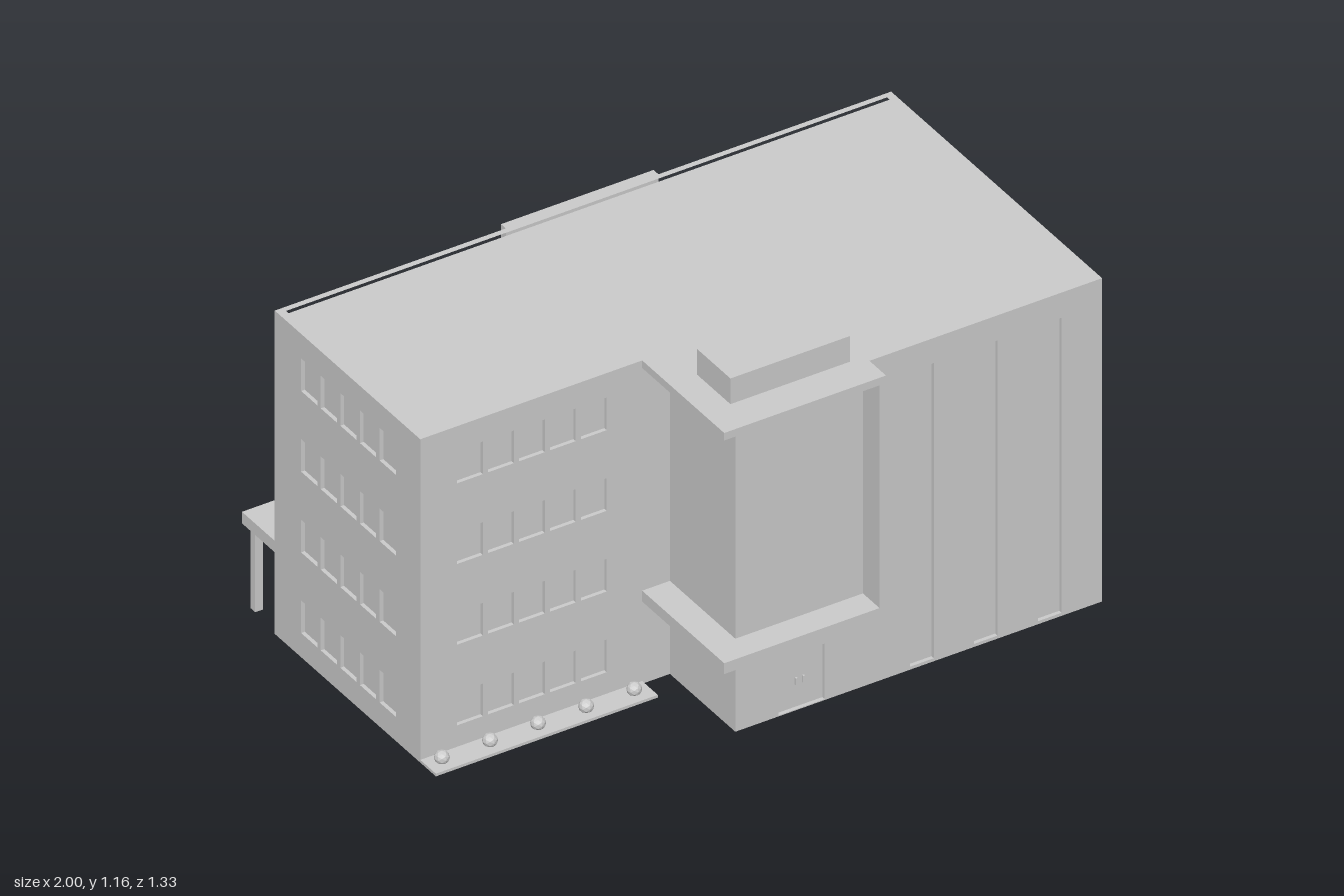
import * as THREE from 'three';

const D = 0.012;        // depth of window, strip and door recesses
const ROOF = 1.045;     // roof deck level
const TOP = 1.07;       // parapet level

export function createModel() {
  const group = new THREE.Group();
  const mat = new THREE.MeshStandardMaterial({ color: 0xcccccc, flatShading: true });

  function add(name, geo) {
    const mesh = new THREE.Mesh(geo, mat);
    mesh.name = name;
    group.add(mesh);
    return mesh;
  }

  function box(name, x0, x1, y0, y1, z0, z1) {
    const geo = new THREE.BoxGeometry(x1 - x0, y1 - y0, z1 - z0);
    geo.translate((x0 + x1) / 2, (y0 + y1) / 2, (z0 + z1) / 2);
    return add(name, geo);
  }

  const outline = (pts) => pts.map(([x, z]) => new THREE.Vector2(x, -z));

  // Horizontal slab from a plan outline of [x, z] points
  function slab(name, pts, y0, y1, hole) {
    const shape = new THREE.Shape(outline(pts));
    if (hole) shape.holes.push(new THREE.Path(outline(hole)));
    const geo = new THREE.ExtrudeGeometry(shape, { depth: y1 - y0, bevelEnabled: false });
    geo.rotateX(-Math.PI / 2).translate(0, y0, 0);
    return add(name, geo);
  }

  const rect = (path, [u0, u1, y0, y1]) => {
    path.moveTo(u0, y0).lineTo(u1, y0).lineTo(u1, y1).lineTo(u0, y1).closePath();
    return path;
  };

  // Thin outer wall with openings; turn faces it outward, dist is its outer plane
  function wall(name, u0, u1, turn, dist, openings) {
    const shape = rect(new THREE.Shape(), [u0, u1, 0, ROOF]);
    for (const o of openings) shape.holes.push(rect(new THREE.Path(), o));
    const geo = new THREE.ExtrudeGeometry(shape, { depth: D, bevelEnabled: false });
    geo.translate(0, 0, dist - D).rotateY(turn);
    return add(name, geo);
  }

  // Rows of windows: first edge, column count and pitch, starting floor
  function windows(start, count, pitch, firstFloor) {
    const list = [];
    for (let f = firstFloor; f < 4; f++) {
      const y = 0.08 + f * 0.267;
      for (let i = 0; i < count; i++) {
        const u = start + i * pitch;
        list.push([u, u + 0.083, y, y + 0.108]);
      }
    }
    return list;
  }
  const strips = (starts) => starts.map((u) => [u, u + 0.077, 0.01, 0.987]);
  const door = (centre) => [centre - 0.075, centre + 0.075, 0.003, 0.187];

  // Solid core behind the recessed openings
  slab('core', [
    [-1 + D, -0.5 + D], [1 - D, -0.5 + D], [1 - D, 0.58 - D],
    [-0.19 + D, 0.58 - D], [-0.19 + D, 0.245 - D], [-1 + D, 0.245 - D],
  ], 0, ROOF);

  // Outer walls
  const H = Math.PI / 2;
  wall('frontWingWall', -1, -0.19 + D, 0, 0.245, windows(-0.88, 5, 0.1005, 0));
  wall('frontTowerWall', -0.19, 1, 0, 0.58, [...strips([0.377, 0.584, 0.792]), door(0.025)]);
  wall('towerSideWall', 0.245 - D, 0.58, -H, 0.19, []);
  wall('leftWall', -0.58, 0.5, H, 1, strips([-0.312, -0.08, 0.15]));
  wall('rightWall', -0.5, 0.245, -H, 1, windows(-0.365, 5, 0.1005, 0));
  wall('backWall', -1, 1, Math.PI, 0.5, [
    ...windows(-0.905, 6, 0.0925, 1), ...windows(0.36, 6, 0.0925, 1), door(-0.355), door(0.355),
  ]);

  // Door handles, a pair for each door
  for (const [x, z] of [[0.025, 0.58 - D], [-0.355, -0.5 + D], [0.355, -0.5 + D]]) {
    for (const s of [-1, 1]) {
      const hx = x + s * 0.012;
      box('doorHandle', hx - 0.003, hx + 0.003, 0.078, 0.1, z - 0.006, z + 0.006);
    }
  }

  // Parapet ring that widens into the tower's overhanging top
  slab('parapetAndTowerTop', [
    [-1, -0.5], [1, -0.5], [1, 0.58], [0.245, 0.58], [0.245, 0.665],
    [-0.28, 0.665], [-0.28, 0.245], [-1, 0.245],
  ], ROOF, TOP, [
    [-0.975, -0.482], [0.975, -0.482], [0.975, 0.555],
    [0.275, 0.555], [0.275, 0.222], [-0.975, 0.222],
  ]);

  // Lower ledge and side fin framing the tower front
  slab('towerLedge', [
    [-0.19, 0.58], [0.245, 0.58], [0.245, 0.665],
    [-0.28, 0.665], [-0.28, 0.245], [-0.19, 0.245],
  ], 0.272, 0.308);
  box('towerFin', 0.224, 0.245, 0.308, ROOF, 0.58, 0.665);
  box('rooftopUnit', -0.19, 0.198, TOP, 1.155, 0.385, 0.555);

  // Back centre panel with a blank board
  box('backPanel', -0.25, 0.245, 0.308, TOP, -0.525, -0.5);
  box('backBoard', -0.15, 0.165, 0.877, 1.01, -0.54, -0.525);

  // Back canopy on posts
  box('backCanopy', -1, 1, 0.27, 0.308, -0.668, -0.5);
  for (let i = -2; i <= 2; i++) {
    const x = i * 0.488;
    box('canopyPost', x - 0.0125, x + 0.0125, 0, 0.27, -0.643, -0.618);
  }

  // Planting strip with round shrubs
  box('plantingStrip', -1, -0.28, 0, 0.009, 0.245, 0.325);
  for (let i = 0; i < 5; i++) {
    const shrub = add('shrub', new THREE.IcosahedronGeometry(0.022, 1));
    shrub.position.set(-0.952 + i * 0.156, 0.021, 0.28);
  }

  return group;
}
